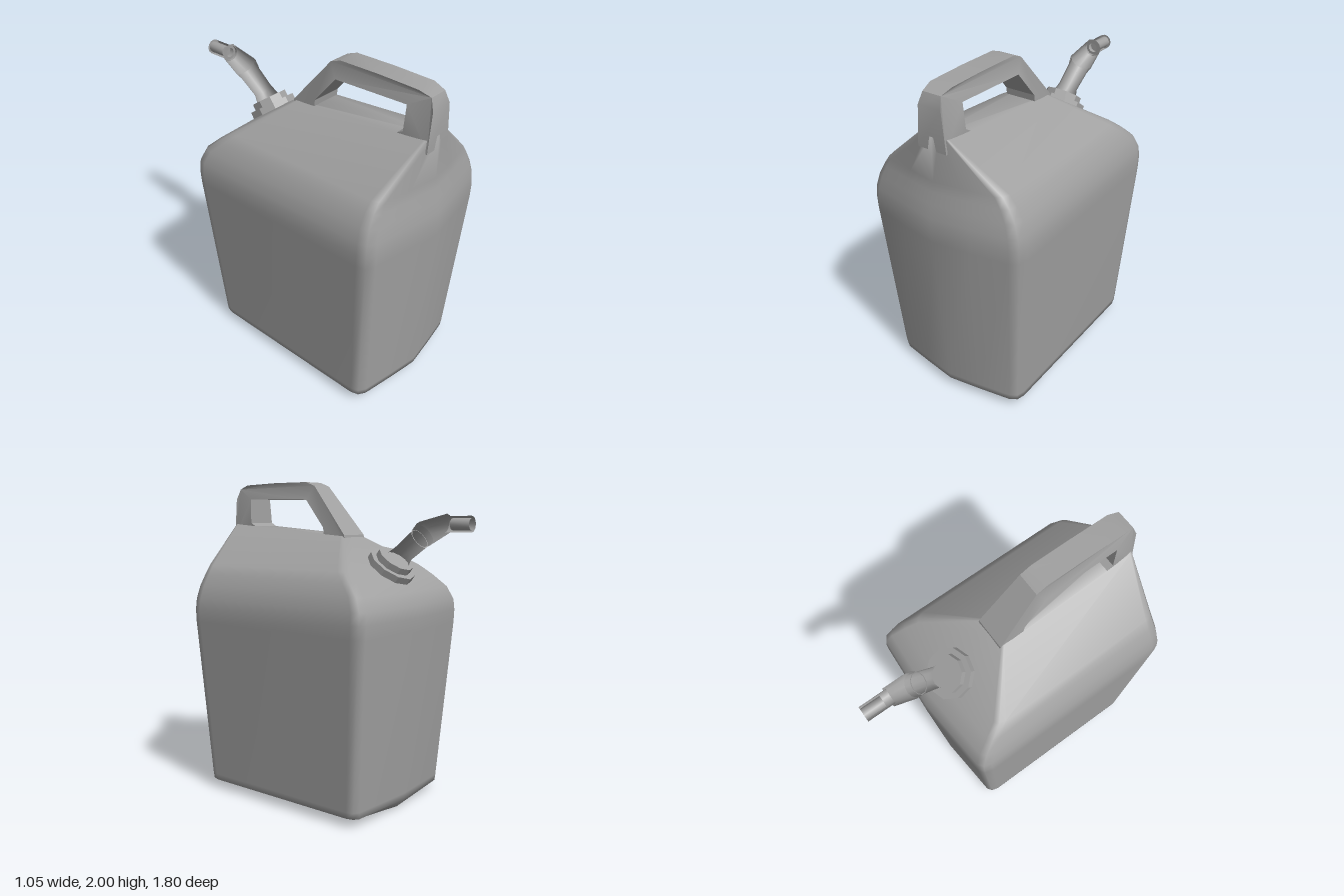
import * as THREE from 'three';
import { toCreasedNormals } from 'three/addons/utils/BufferGeometryUtils.js';

// Skin closed rings of equal length; optional mirrored caps on rings whose point 0 and middle lie on x = 0
function loft(rings, capped) {
  const n = rings[0].length, pos = [], idx = [];
  rings.forEach(r => r.forEach(p => pos.push(...p)));
  for (let i = 0; i < rings.length - 1; i++) {
    for (let j = 0; j < n; j++) {
      const a = i * n + j, b = i * n + (j + 1) % n;
      idx.push(a, b, b + n, a, b + n, a + n);
    }
  }
  if (capped) {
    const top = (rings.length - 1) * n;
    for (let j = 1; j < n - 1; j++) {
      idx.push(0, j + 1, j);
      idx.push(top, top + j, top + j + 1);
    }
  }
  const g = new THREE.BufferGeometry();
  g.setAttribute('position', new THREE.Float32BufferAttribute(pos, 3));
  g.setIndex(idx);
  g.computeVertexNormals();
  return g;
}

// Tank cross-section with a bowed front and rounded corners
function tankRing([y, w, zf, zb, yAt]) {
  const s = w / 0.525;
  const half = [
    [0, zf], [0.45 * w, zf - 0.036 * s], [0.88 * w, zf - 0.075 * s], [0.97 * w, zf - 0.105 * s],
    [w, zf - 0.16 * s], [w, zb + 0.11 * s], [0.975 * w, zb + 0.06 * s], [0.91 * w, zb + 0.035 * s], [0, zb],
  ];
  const mirrored = half.slice(1, -1).reverse().map(([x, z]) => [-x, z]);
  return [...half, ...mirrored].map(([x, z]) => [x, yAt ? yAt(x, z) : y, z]);
}

// Spout ring centred at (z, y); angle is the heading above the -z direction
function spoutRing([z, y, r, angle]) {
  const ring = [], sides = 12;
  for (let i = 0; i < sides; i++) {
    const t = i / sides * Math.PI * 2, u = Math.cos(t) * r;
    ring.push([-Math.sin(t) * r, y + u * Math.cos(angle), z + u * Math.sin(angle)]);
  }
  return ring;
}

export function createModel() {
  const model = new THREE.Group();
  model.name = 'fuelCan';
  const grey = new THREE.MeshStandardMaterial({ color: 0xa0a0a0 });
  grey.name = 'grey plastic';
  const add = (name, geometry) => {
    const mesh = new THREE.Mesh(geometry, grey);
    mesh.name = name;
    model.add(mesh);
    return mesh;
  };

  // Tank: slightly keeled bottom, flaring walls, hipped shoulders
  add('tank', loft([
    [0, 0.385, 0.73, -0.43, x => 0.003 + Math.abs(x) * 0.085],
    [0.06, 0.46, 0.83, -0.48],
    [0.1, 0.464, 0.835, -0.484],
    [1.12, 0.524, 0.903, -0.566],
    [1.2, 0.525, 0.905, -0.57],
    [1.27, 0.517, 0.9, -0.565],
    [1.35, 0.492, 0.885, -0.525],
    [1.42, 0.452, 0.87, -0.445],
    [1.48, 0.408, 0.86, -0.365],
    [1.7, 0.1, 0.852, -0.085, (x, z) => 1.668 + (z + 0.085) * 0.075],
  ].map(tankRing), true));

  // Handle: arch outline in (z, y), extruded across and narrowed towards the top and front
  const arch = new THREE.Shape([
    [0.85, 1.66], [0.85, 1.9], [0.825, 1.967], [0.75, 1.992], [0.5, 2], [0.235, 2], [0.165, 1.975],
    [-0.09, 1.675], [-0.1, 1.62], [0.06, 1.62], [0.074, 1.72], [0.217, 1.89], [0.7, 1.9],
    [0.692, 1.745], [0.63, 1.71], [0.63, 1.66],
  ].map(p => new THREE.Vector2(...p)));
  const handle = new THREE.ExtrudeGeometry(arch, { depth: 2, bevelEnabled: false });
  handle.rotateY(-Math.PI / 2).translate(1, 0, 0);
  const p = handle.attributes.position;
  for (let i = 0; i < p.count; i++) {
    const y = p.getY(i), z = p.getZ(i);
    let w = y > 1.95 ? 0.072 : y > 1.85 ? 0.092 : 0.1;
    if (z > 0.8) w = y > 1.95 ? 0.06 : y > 1.85 ? 0.075 : 0.095;
    p.setX(i, p.getX(i) * w);
  }
  add('handle', toCreasedNormals(handle, 0.5));

  // Collar: two stacked faceted discs square to the rear slope
  const collar = new THREE.Group();
  collar.name = 'spoutCollar';
  [[0.15, 0.05, 0.005], [0.115, 0.06, 0.04]].forEach(([r, h, y], i) => {
    const disc = new THREE.Mesh(toCreasedNormals(new THREE.CylinderGeometry(r, r, h, 10), 0.3), grey);
    disc.name = i ? 'collarCap' : 'collarBase';
    disc.position.y = y;
    collar.add(disc);
  });
  collar.position.set(0, 1.485, -0.365);
  collar.rotation.x = -0.62;
  model.add(collar);

  // Spout: lower neck, tapering sleeve and hollow tip, as [z, y, radius, heading]
  const spoutPart = (name, rows) => add(name, toCreasedNormals(loft(rows.map(spoutRing)), 0.7));
  spoutPart('spoutNeck', [
    [-0.385, 1.5, 0.085, 0.9], [-0.455, 1.573, 0.06, 0.75], [-0.6, 1.685, 0.066, 0.65],
  ]);
  spoutPart('spoutSleeve', [
    [-0.565, 1.66, 0.06, 0.65], [-0.565, 1.66, 0.066, 0.65], [-0.6, 1.69, 0.076, 0.5],
    [-0.745, 1.745, 0.057, 0.05], [-0.745, 1.745, 0.03, 0.05],
  ]);
  spoutPart('spoutTip', [
    [-0.73, 1.744, 0.046, 0], [-0.9, 1.744, 0.046, 0], [-0.9, 1.744, 0.034, 0],
    [-0.78, 1.744, 0.034, 0], [-0.78, 1.744, 0.001, 0],
  ]);

  return model;
}
